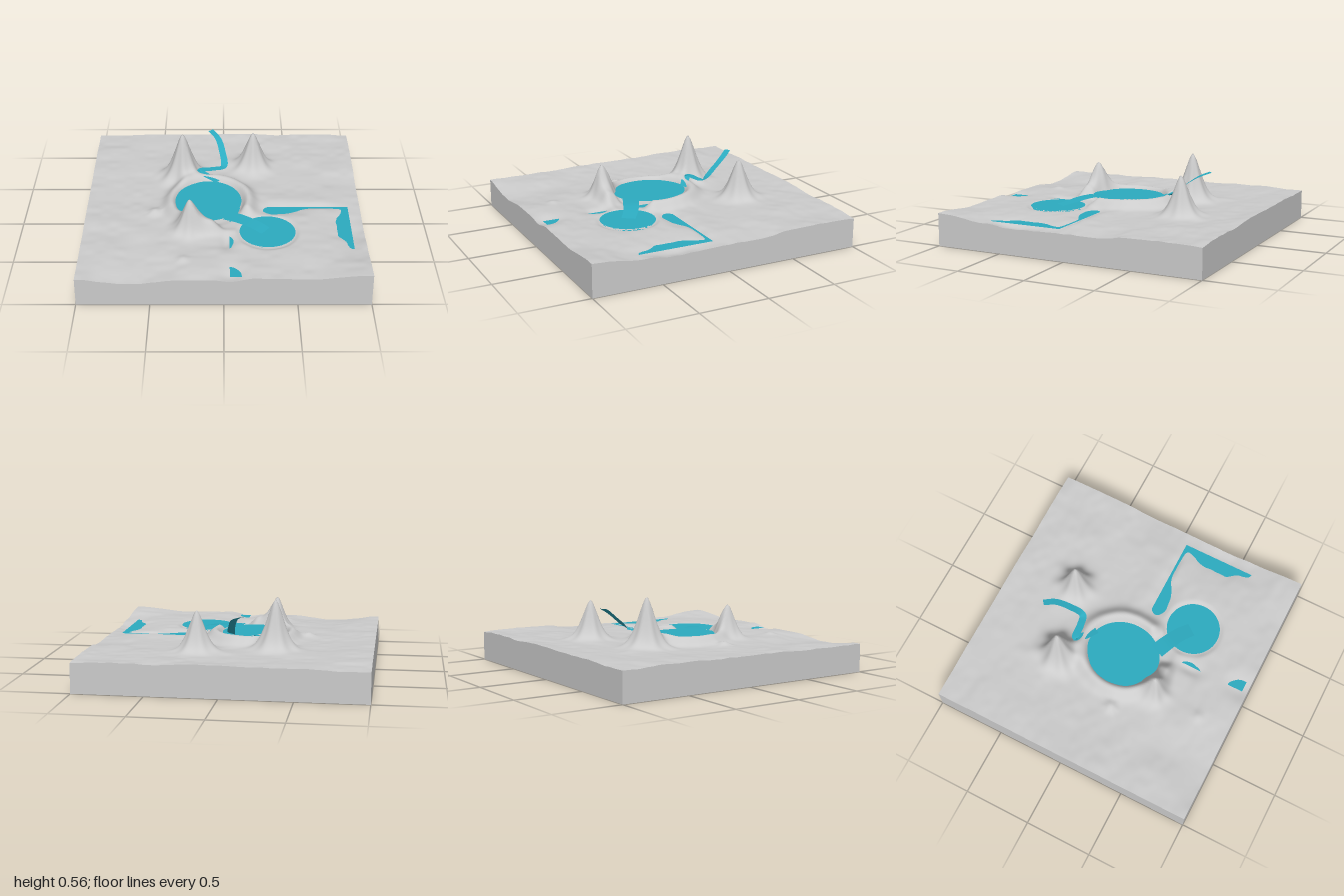
import * as THREE from 'three';

// Broad ground level on a coarse grid, rows from back to front, columns from -x to +x
const LEVELS = [
  [0.218, 0.220, 0.225, 0.222, 0.220, 0.215],
  [0.220, 0.212, 0.210, 0.215, 0.215, 0.215],
  [0.215, 0.205, 0.205, 0.210, 0.208, 0.195],
  [0.210, 0.200, 0.200, 0.208, 0.212, 0.190],
  [0.208, 0.195, 0.205, 0.212, 0.216, 0.208],
  [0.202, 0.170, 0.206, 0.210, 0.208, 0.230],
];
// Mountains: x, z, height, radius, sharpness
const PEAKS = [
  [-0.31, -0.37, 0.36, 0.088, 1.65],
  [0.225, -0.51, 0.285, 0.08, 1.65],
  [-0.245, 0.385, 0.2, 0.07, 1.6],
  [-0.5, 0.16, 0.025, 0.045, 2],
  [-0.28, 0.76, 0.012, 0.04, 2],
];
// Hollows where the low water shows: x, z, rx, rz, depth
const HOLLOWS = [
  [0.42, 0.12, 0.15, 0.07, 0.028],
  [0.68, 0.08, 0.15, 0.03, 0.02],
  [0.93, 0.42, 0.09, 0.22, 0.026],
  [0.02, 0.54, 0.045, 0.09, 0.024],
  [0.05, 0.93, 0.09, 0.11, 0.028],
];
const LAKE = { x: -0.115, z: 0.06, rx: 0.245, rz: 0.275, y: 0.245 };
const POND = { x: 0.31, z: 0.43, r: 0.198, y: 0.215 };
const LOW_WATER = 0.198;
const smooth = (t) => t * t * (3 - 2 * t);
const step = (a, b, v) => THREE.MathUtils.smoothstep(v, a, b);
const lerp = THREE.MathUtils.lerp;

// Smooth value noise from a small integer hash
function hash(i, j) {
  const s = Math.sin(i * 127.1 + j * 311.7) * 43758.5453;
  return s - Math.floor(s);
}
function noise(x, z) {
  const i = Math.floor(x), j = Math.floor(z), u = smooth(x - i), v = smooth(z - j);
  return lerp(lerp(hash(i, j), hash(i + 1, j), u), lerp(hash(i, j + 1), hash(i + 1, j + 1), u), v) - 0.5;
}

function groundLevel(x, z) {
  const gx = (x + 1) * 2.5, gz = (z + 1) * 2.5;
  const i = Math.min(4, Math.floor(gx)), j = Math.min(4, Math.floor(gz));
  const u = smooth(gx - i), v = smooth(gz - j);
  return lerp(lerp(LEVELS[j][i], LEVELS[j][i + 1], u), lerp(LEVELS[j + 1][i], LEVELS[j + 1][i + 1], u), v);
}

function height(x, z) {
  let h = groundLevel(x, z) + 0.012 * noise(x * 5, z * 7) + 0.005 * noise(x * 14 + 9, z * 17);
  for (const [px, pz, rx, rz, d] of HOLLOWS) {
    h -= d * Math.exp(-(((x - px) / rx) ** 2) - ((z - pz) / rz) ** 2);
  }
  // Crater rim, open towards the pond
  const dx = x + 0.1, dz = z - 0.06;
  const t = Math.hypot(dx / 0.28, dz / 0.31);
  const gap = Math.abs(Math.atan2(dz, dx) - 0.95);
  const rim = 0.066 * step(0.3, 0.6, gap) * Math.exp(-(((t - 1.02) / 0.2) ** 2));
  h = Math.min(h + rim, Math.max(h, 0.275));
  // Lake bed
  h = lerp(0.19, h, step(0.72, 0.95, t));
  // Mountains with fluted flanks
  for (const [px, pz, a, r, p] of PEAKS) {
    const d = Math.hypot(x - px, z - pz);
    const flute = 1 + 0.05 * Math.sin(7 * Math.atan2(z - pz, x - px)) * Math.min(1, d / 0.05);
    h += a * Math.exp(-((d * flute / r) ** p));
  }
  // Low shoulder stretching out from the front mountain
  h += 0.045 * Math.exp(-(((x + 0.16) / 0.15) ** 2) - ((z - 0.42) / 0.035) ** 2);
  // Pond bed
  const pd = Math.hypot(x - POND.x, z - POND.z);
  return lerp(Math.min(h, 0.198), h, step(POND.r - 0.005, POND.r + 0.035, pd));
}

// Flat band of constant width along a path
function ribbon(points, widths, segments) {
  const curve = new THREE.CatmullRomCurve3(points.map((p) => new THREE.Vector3(...p)));
  const pos = [], index = [];
  for (let i = 0; i <= segments; i++) {
    const p = curve.getPoint(i / segments), d = curve.getTangent(i / segments);
    const w = lerp(widths[0], widths[1], i / segments) / 2, l = Math.hypot(d.x, d.z) || 1;
    const sx = (-d.z / l) * w, sz = (d.x / l) * w;
    pos.push(p.x + sx, p.y, p.z + sz, p.x - sx, p.y, p.z - sz);
    if (i) {
      const a = 2 * i - 2;
      index.push(a, a + 2, a + 1, a + 1, a + 2, a + 3);
    }
  }
  const g = new THREE.BufferGeometry();
  g.setAttribute('position', new THREE.Float32BufferAttribute(pos, 3));
  g.setIndex(index);
  g.computeVertexNormals();
  return g;
}

export function createModel() {
  const group = new THREE.Group();
  const earth = new THREE.MeshStandardMaterial({ color: 0xcccccc });
  const water = new THREE.MeshStandardMaterial({ color: 0x2cabc0, side: THREE.DoubleSide });
  const add = (name, geometry, material) => {
    const mesh = new THREE.Mesh(geometry, material);
    mesh.name = name;
    group.add(mesh);
    return mesh;
  };

  // Solid block whose top follows the landscape
  const block = new THREE.BoxGeometry(2, 1, 2, 160, 1, 160);
  const p = block.attributes.position;
  for (let i = 0; i < p.count; i++) {
    p.setY(i, p.getY(i) > 0 ? height(p.getX(i), p.getZ(i)) : 0);
  }
  block.computeVertexNormals();
  add('terrain', block, earth);

  // Lake and pond
  const lake = add('lake', new THREE.CircleGeometry(1, 64).rotateX(-Math.PI / 2), water);
  lake.scale.set(LAKE.rx, 1, LAKE.rz);
  lake.position.set(LAKE.x, LAKE.y, LAKE.z);
  const pond = add('pond', new THREE.CircleGeometry(POND.r, 64).rotateX(-Math.PI / 2), water);
  pond.position.set(POND.x, POND.y, POND.z);

  // Low water sheet showing only in the hollows
  const sheet = add('lowWater', new THREE.PlaneGeometry(0.87, 0.88).rotateX(-Math.PI / 2), water);
  sheet.position.set(0.475, LOW_WATER, 0.52);

  // River falling into the lake
  add('upperRiver', ribbon([
    [-0.1, 0.475, -0.6], [-0.045, 0.445, -0.53], [-0.012, 0.385, -0.44], [0, 0.305, -0.335],
    [-0.07, 0.297, -0.315], [-0.175, 0.292, -0.3], [-0.13, 0.275, -0.255], [-0.04, 0.255, -0.2],
  ], [0.045, 0.06], 64), water);

  // Stream from the lake to the pond
  add('lowerStream', ribbon([
    [0.02, 0.25, 0.27], [0.12, 0.247, 0.315], [0.22, 0.232, 0.365], [0.31, 0.212, 0.43],
  ], [0.12, 0.1], 24), water);

  return group;
}
